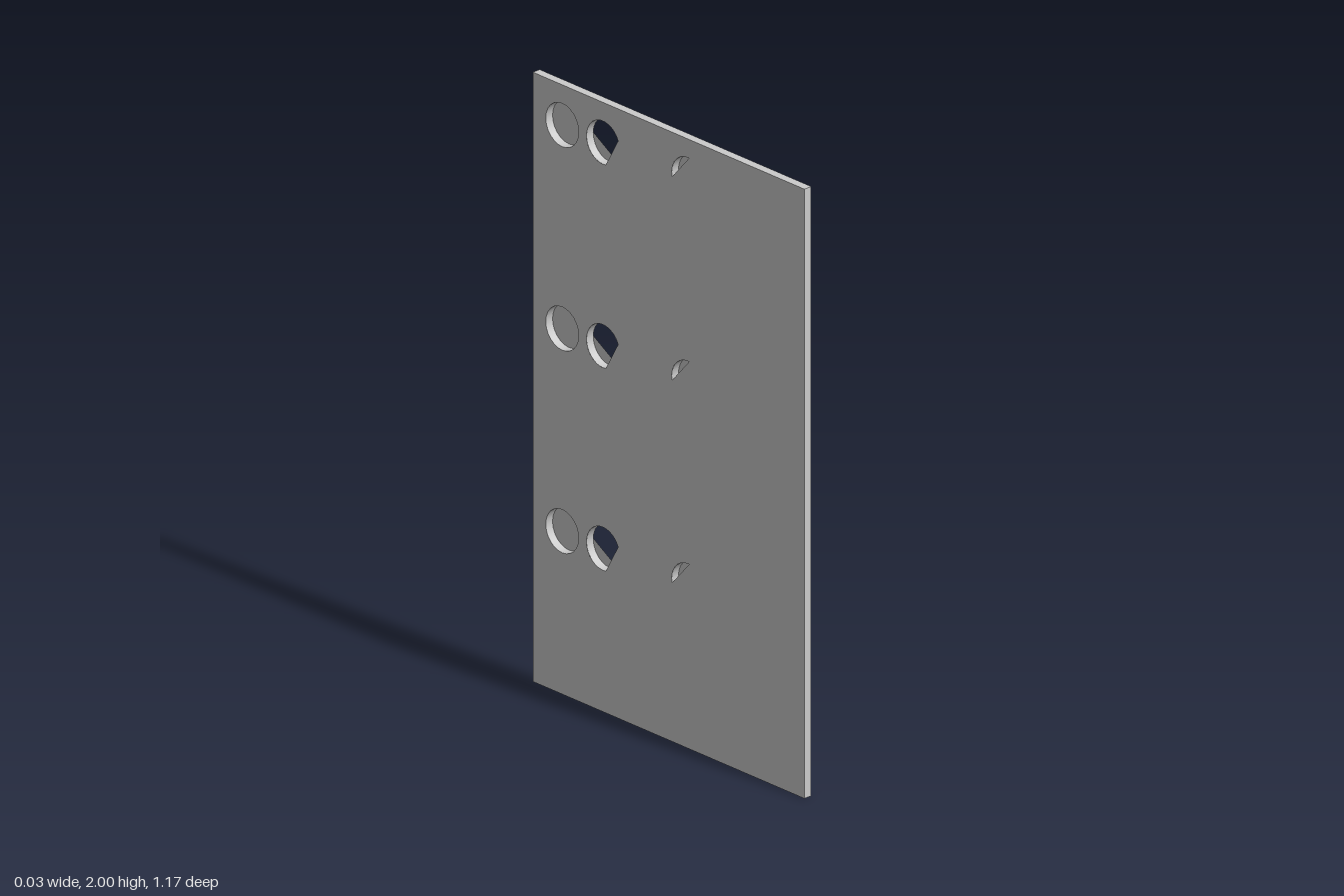
import * as THREE from 'three';

const H = 2, HALF_D = 0.587, HALF_T = 0.014, R = 0.071;
const ROWS = [0.535, 1.2, 1.868];
// Each bore: centre z, and the open arc (degrees in the z-y plane) on the +x and -x faces;
// the rest of the circle beyond the chord is covered by the face.
const BORES = [
  { z: 0.084, left: [-33, 118], right: [86, 192] },
  { z: -0.284, left: [-60, 178], right: [22, 280] },
  { z: -0.46, left: [27, 96], right: [0, 360] },
];

// Outline of a circle segment; s mirrors z so the face can look along +x or -x
function segmentPath(z, y, [from, to], s) {
  const n = Math.max(4, Math.round((to - from) / 15));
  const count = to - from === 360 ? n : n + 1;
  const pts = [];
  for (let i = 0; i < count; i++) {
    const a = THREE.MathUtils.degToRad(from + (to - from) * i / n);
    pts.push(new THREE.Vector2(s * (z + R * Math.cos(a)), y + R * Math.sin(a)));
  }
  return new THREE.Path(pts);
}

export function createModel() {
  const group = new THREE.Group();
  group.name = 'perforatedPanel';
  const mat = new THREE.MeshStandardMaterial({ color: 0xcccccc, side: THREE.DoubleSide });
  const add = (name, geo) => {
    const mesh = new THREE.Mesh(geo, mat);
    mesh.name = name;
    group.add(mesh);
    return mesh;
  };

  // Two broad faces with their own openings
  for (const side of [1, -1]) {
    const shape = new THREE.Shape([
      new THREE.Vector2(-HALF_D, 0), new THREE.Vector2(HALF_D, 0),
      new THREE.Vector2(HALF_D, H), new THREE.Vector2(-HALF_D, H),
    ]);
    for (const y of ROWS) for (const b of BORES)
      shape.holes.push(segmentPath(b.z, y, side > 0 ? b.left : b.right, -side));
    const geo = new THREE.ShapeGeometry(shape);
    geo.rotateY(side * Math.PI / 2).translate(side * HALF_T, 0, 0);
    add(side > 0 ? 'leftFace' : 'rightFace', geo);
  }

  // Thin rim around the panel
  for (const s of [1, -1]) {
    add(s > 0 ? 'frontEdge' : 'backEdge', new THREE.PlaneGeometry(2 * HALF_T, H)
      .rotateY(s > 0 ? 0 : Math.PI).translate(0, H / 2, s * HALF_D));
    add(s > 0 ? 'topEdge' : 'bottomEdge', new THREE.PlaneGeometry(2 * HALF_T, 2 * HALF_D)
      .rotateX(-s * Math.PI / 2).translate(0, s > 0 ? H : 0, 0));
  }

  // Round bore walls between the faces
  for (const y of ROWS) for (const b of BORES)
    add('boreWall', new THREE.CylinderGeometry(R, R, 2 * HALF_T, 24, 1, true)
      .rotateZ(Math.PI / 2).translate(0, y, b.z));

  return group;
}
